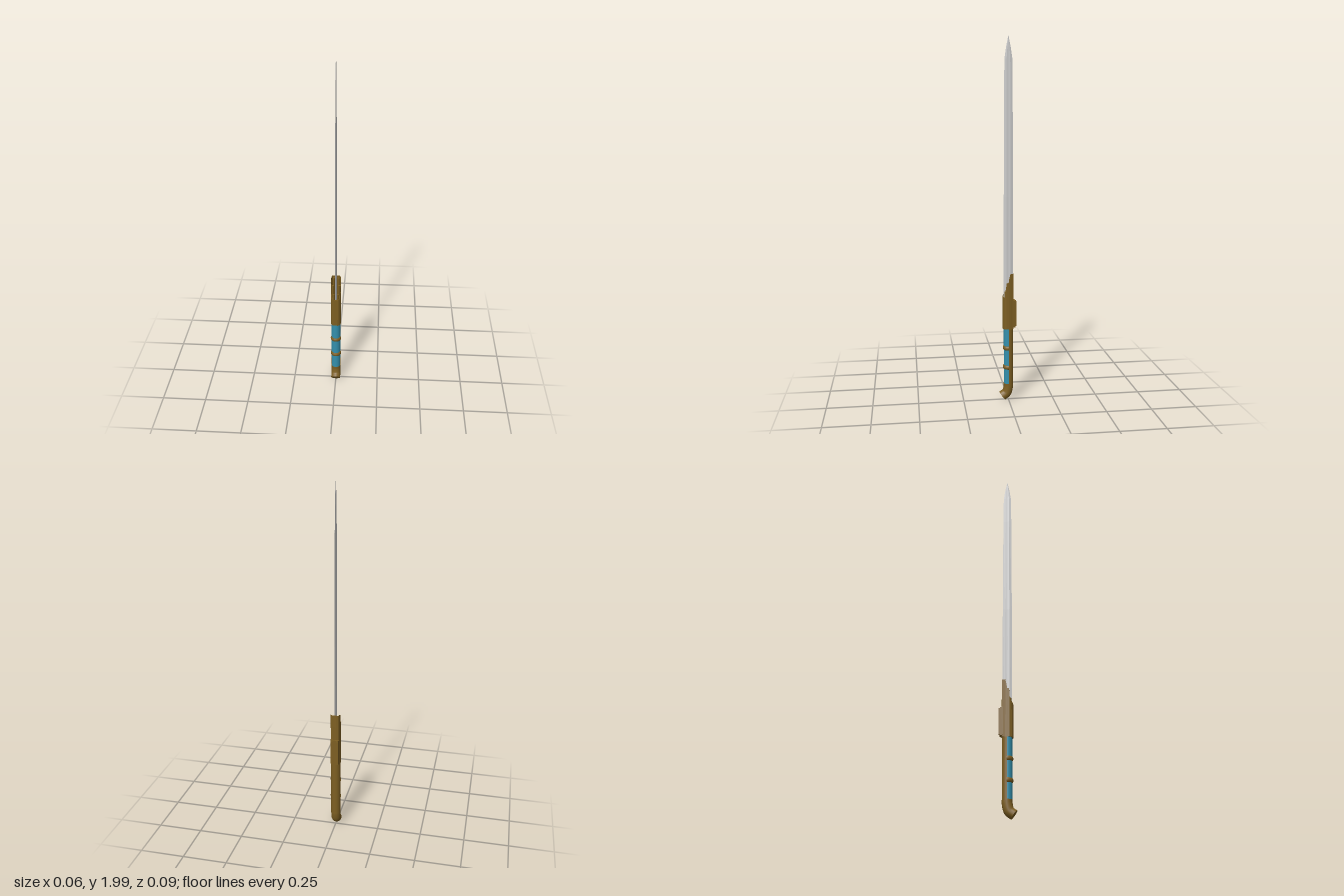
import * as THREE from 'three';

const bronze = new THREE.MeshStandardMaterial({ color: 0x7d5f22, side: THREE.DoubleSide });
const bronzeFlat = new THREE.MeshStandardMaterial({ color: 0x7d5f22, flatShading: true, side: THREE.DoubleSide });
const blue = new THREE.MeshStandardMaterial({ color: 0x3390ad, side: THREE.DoubleSide });
const steel = new THREE.MeshStandardMaterial({ color: 0xcccccc, flatShading: true, side: THREE.DoubleSide });

export function createModel() {
  const model = new THREE.Group();
  const add = (name, geo, mat, x = 0, y = 0, z = 0) => {
    const m = new THREE.Mesh(geo, mat);
    m.name = name;
    m.position.set(x, y, z);
    model.add(m);
    return m;
  };

  // upright prism from an outline of [x, z] points
  const prism = (outline, hole, height) => {
    const pts = (l) => l.map(([x, z]) => new THREE.Vector2(x, -z));
    const shape = new THREE.Shape(pts(outline));
    if (hole) shape.holes.push(new THREE.Path(pts(hole)));
    return new THREE.ExtrudeGeometry(shape, { depth: height, bevelEnabled: false }).rotateX(-Math.PI / 2);
  };
  const mirrored = (half) => [...half, ...half.map(([x, z]) => [-x, z]).reverse()];

  // blade: thin fullered cross-section lofted up to the point
  const rows = [[0.45, 0.026, 0.005], [1.15, 0.025, 0.004], [1.72, 0.023, 0.003],
    [1.88, 0.021, 0.0025], [1.94, 0.012, 0.002], [2.0, 0, 0]];
  const section = [[0, 1], [1, 0.45], [0.7, 0], [1, -0.45], [0, -1], [-1, -0.45], [-0.7, 0], [-1, 0.45]];
  const pos = [], idx = [], n = section.length;
  rows.forEach(([y, w, t], r) => section.forEach(([sx, sz], i) => {
    pos.push(sx * t, y, sz * w);
    if (r < rows.length - 1) {
      const a = r * n + i, b = r * n + (i + 1) % n;
      idx.push(a, b, a + n, b, b + n, a + n);
    }
  }));
  const blade = new THREE.BufferGeometry();
  blade.setAttribute('position', new THREE.Float32BufferAttribute(pos, 3));
  blade.setIndex(idx);
  blade.computeVertexNormals();
  add('blade', blade, steel);

  // grip: bronze back half, blue front half, half rings
  const half = (r, start) => new THREE.CylinderGeometry(r, r, 0.32, 16, 1, false, start, Math.PI);
  add('gripBack', half(0.027, Math.PI / 2), bronze, 0, 0.26, 0);
  add('gripInlay', half(0.0255, -Math.PI / 2), blue, 0, 0.26, 0);
  for (const y of [0.2, 0.31]) {
    const ring = new THREE.TorusGeometry(0.025, 0.006, 8, 16, Math.PI).rotateX(Math.PI / 2);
    ring.scale(1, 2, 1);
    add('gripRing', ring, bronze, 0, y, 0);
  }

  // pommel: tube bending forward, closed by a disc
  const path = new THREE.CatmullRomCurve3([[0.105, 0], [0.085, 0], [0.049, 0.01], [0.031, 0.034]]
    .map(([y, z]) => new THREE.Vector3(0, y, z)));
  add('pommel', new THREE.TubeGeometry(path, 14, 0.027, 16), bronze);
  add('pommelTop', new THREE.CircleGeometry(0.027, 16).rotateX(-Math.PI / 2), bronze, 0, 0.105, 0);
  const cap = add('pommelCap', new THREE.CircleGeometry(0.027, 16), bronze);
  cap.position.copy(path.getPoint(1));
  cap.lookAt(path.getPoint(1).add(path.getTangent(1)));

  // guard sleeve: hollow housing, low at the front, high at the back, slotted behind
  const outer = mirrored([[0.012, 0.031], [0.022, 0.025], [0.028, 0.014], [0.028, 0.012], [0.028, 0.001],
    [0.028, -0.001], [0.027, -0.008], [0.022, -0.026], [0.009, -0.028], [0.008, -0.028]]);
  const inner = mirrored([[0.01, 0.027], [0.019, 0.022], [0.024, 0.014], [0.024, 0.012], [0.024, 0.001],
    [0.024, -0.001], [0.023, -0.008], [0.019, -0.023], [0.009, -0.024], [0.008, -0.024]]);
  const sleeve = prism(outer, inner, 0.3);
  const topAt = (x, z) => {
    if (z < -0.02) return Math.abs(x) < 0.0085 ? 0.66 : 0.73;
    if (z < -0.005) return 0.73;
    if (z < 0) return 0.70;
    if (z < 0.013) return 0.68;
    return z < 0.018 ? 0.635 : 0.6;
  };
  const p = sleeve.attributes.position;
  for (let i = 0; i < p.count; i++) {
    p.setY(i, p.getY(i) < 0.1 ? 0.42 : topAt(p.getX(i), p.getZ(i)));
  }
  sleeve.computeVertexNormals();
  add('guardSleeve', sleeve, bronzeFlat);
  add('guardCore', prism(inner, null, 0.16), bronzeFlat, 0, 0.421, 0);

  // back plate with two ribs
  const plate = mirrored([[0.024, -0.02], [0.022, -0.036], [0.012, -0.037]]);
  add('backPlate', prism(plate, null, 0.15), bronzeFlat, 0, 0.43, 0);
  for (const s of [-1, 1]) {
    add('backRib', new THREE.BoxGeometry(0.009, 0.14, 0.012), bronzeFlat, s * 0.014, 0.505, -0.037);
    // rods around the blade root, stepping down towards the front
    for (const [x, z, top] of [[0.014, -0.018, 0.72], [0.017, 0, 0.68], [0.012, 0.017, 0.63]]) {
      const h = top - 0.5;
      add('rod', new THREE.CylinderGeometry(0.006, 0.006, h, 12), bronze, s * x, 0.5 + h / 2, z);
    }
  }
  return model;
}
